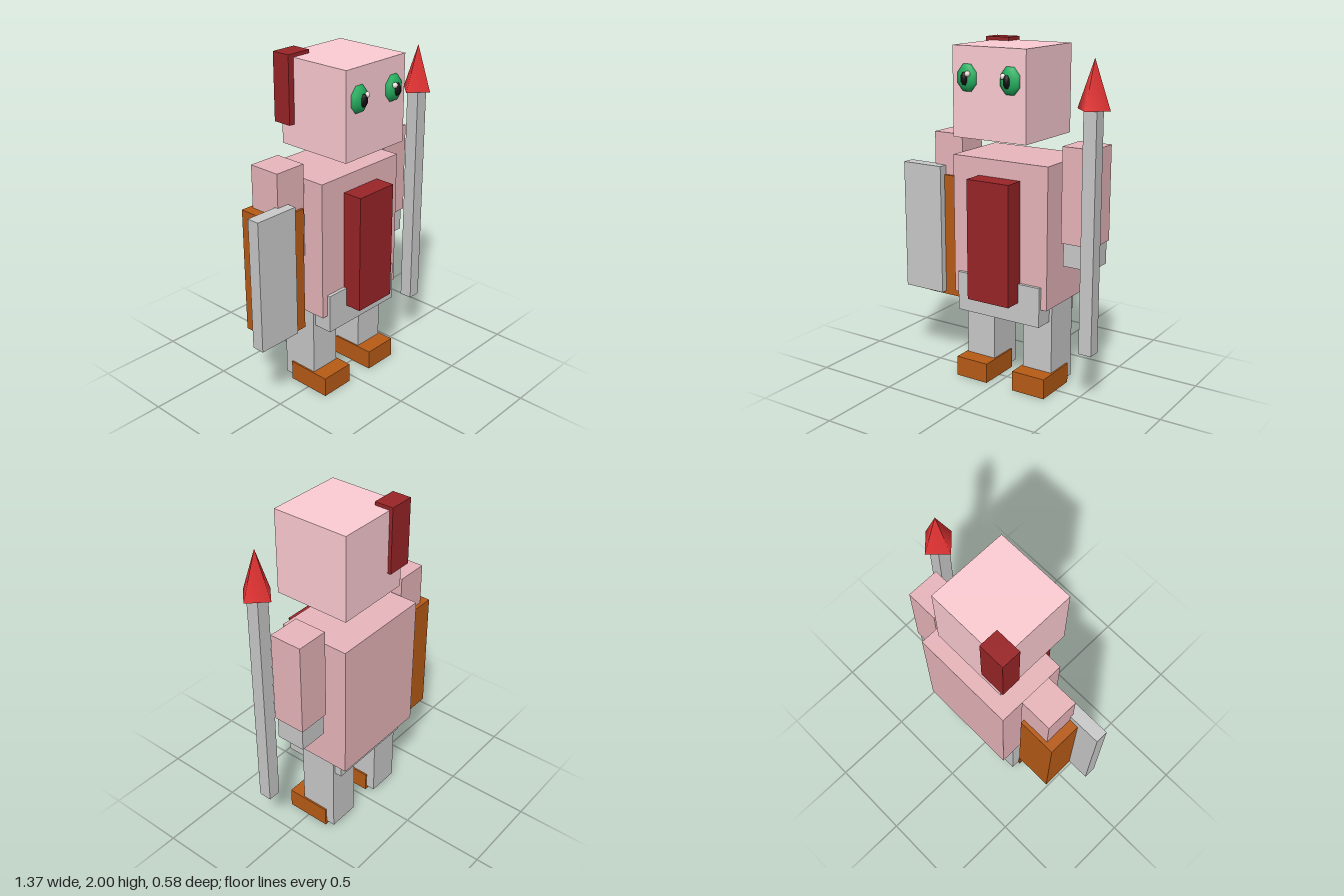
import * as THREE from 'three';

const mat = (color) => new THREE.MeshStandardMaterial({ color });
const CX = 0.0375; // mirror plane of the body

export function createModel() {
  const model = new THREE.Group();
  model.name = 'blockGuard';

  const grey = mat(0xcccccc);
  const skin = mat(0xffced5);
  const cloth = mat(0xeab7bc);
  const darkRed = mat(0x9b2528);
  const brown = mat(0xb95c17);
  const red = mat(0xe83434);
  const green = mat(0x24b060);
  const black = mat(0x111111);
  const white = mat(0xf5e8e0);

  // Box given by its limits on each axis
  const box = (name, material, [x0, x1], [y0, y1], [z0, z1]) => {
    const mesh = new THREE.Mesh(new THREE.BoxGeometry(x1 - x0, y1 - y0, z1 - z0), material);
    mesh.position.set((x0 + x1) / 2, (y0 + y1) / 2, (z0 + z1) / 2);
    mesh.name = name;
    model.add(mesh);
  };

  // Low-poly ellipsoid with its pole facing forward
  const blob = (name, material, center, radii, parent) => {
    const geometry = new THREE.SphereGeometry(1, 8, 6);
    geometry.rotateX(Math.PI / 2).rotateZ(Math.PI / 8).scale(...radii);
    const mesh = new THREE.Mesh(geometry, material);
    mesh.position.set(...center);
    mesh.name = name;
    parent.add(mesh);
  };

  // Head and hair tail
  box('head', skin, [-0.197, 0.272], [1.48, 1.98], [-0.235, 0.235]);
  box('hairTail', darkRed, [-0.235, -0.08], [1.61, 2.0], [-0.255, -0.14]);

  // Torso, chest panel and belt
  box('torso', cloth, [-0.275, 0.35], [0.535, 1.355], [-0.295, 0.135]);
  box('chestPanel', darkRed, [-0.1, 0.175], [0.555, 1.255], [0.1, 0.255]);
  box('belt', grey, [-0.237, 0.313], [0.435, 0.667], [-0.235, 0.155]);

  // Mirrored limbs and eyes: s = +1 is the left side
  for (const s of [1, -1]) {
    const side = s > 0 ? 'left' : 'right';
    const span = (a, b) => [CX + s * a, CX + s * b].sort((p, q) => p - q);
    box(side + 'Arm', cloth, span(0.333, 0.529), [0.905, 1.45], [-0.177, 0.02]);
    box(side + 'Hand', grey, span(0.343, 0.519), [0.77, 0.95], [-0.167, 0.01]);
    box(side + 'Leg', grey, span(0.1, 0.292), [0.025, 0.6], [-0.19, 0.04]);
    box(side + 'Foot', brown, span(0.09, 0.302), [0, 0.12], [-0.135, 0.14]);

    const eye = new THREE.Group();
    eye.name = side + 'Eye';
    eye.position.set(CX + s * 0.1375, 1.81, 0.23);
    blob('iris', green, [0, 0, 0], [0.068, 0.083, 0.042], eye);
    blob('pupil', black, [-s * 0.002, -0.002, 0.035], [0.022, 0.039, 0.022], eye);
    blob('glint', white, [-s * 0.025, 0.025, 0.04], [0.016, 0.017, 0.015], eye);
    model.add(eye);
  }

  // Satchel and shield on the right arm
  box('satchel', brown, [-0.55, -0.317], [0.457, 1.2], [-0.2, 0.035]);
  box('shield', grey, [-0.687, -0.417], [0.477, 1.255], [0, 0.075]);

  // Spear with a four-sided tip
  box('spearShaft', grey, [0.547, 0.625], [0.32, 1.68], [0.04, 0.117]);
  const tip = new THREE.Mesh(new THREE.ConeGeometry(0.097, 0.265, 4), red);
  tip.position.set(0.587, 1.8075, 0.078);
  tip.name = 'spearTip';
  model.add(tip);

  return model;
}
